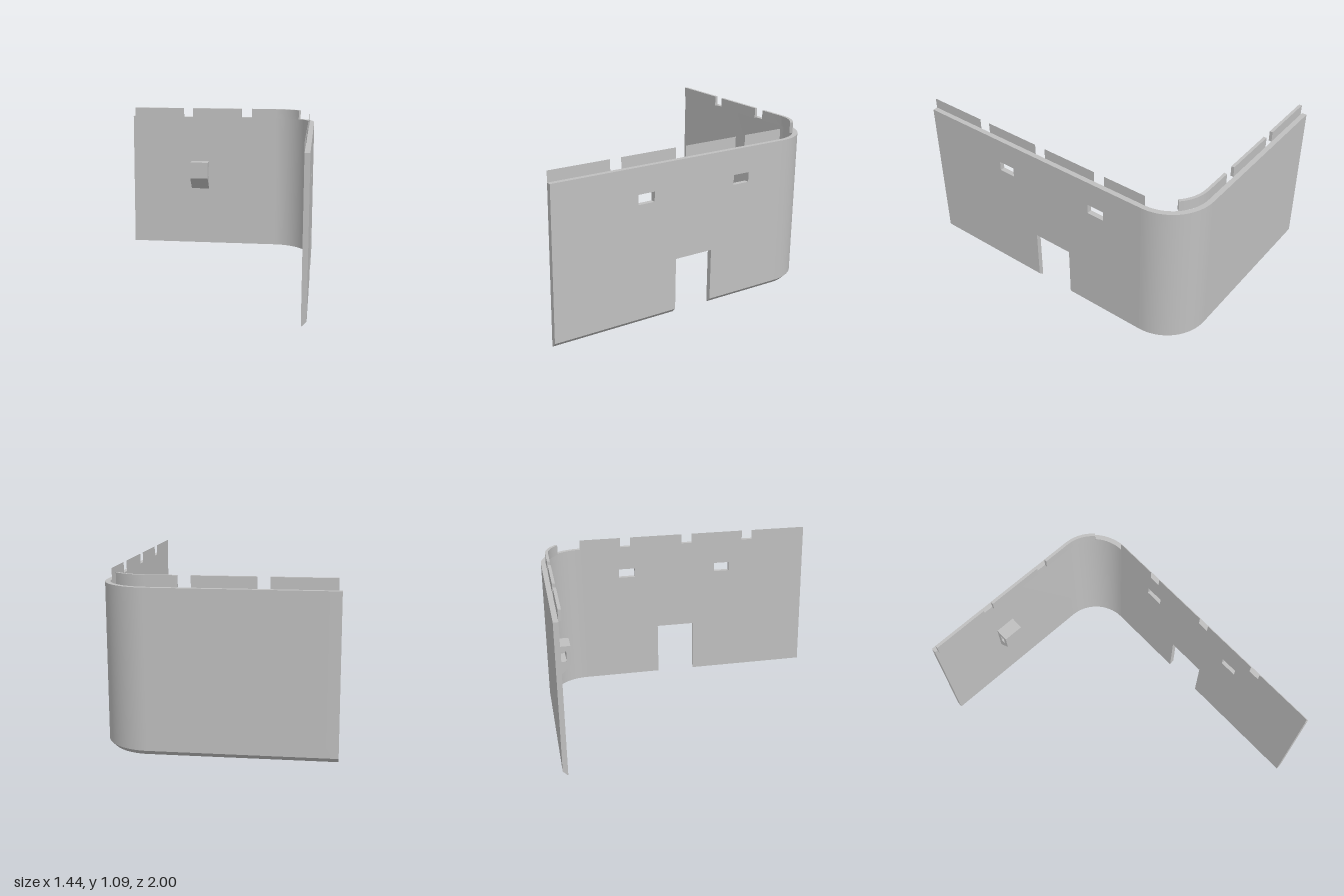
import * as THREE from 'three';
import { toCreasedNormals } from 'three/addons/utils/BufferGeometryUtils.js';

const T = 0.033, H = 1.02, TAB_TOP = 1.09, CHAMFER = 0.03;
const X = 0.72, Z = 1, R = 0.3;

const grey = new THREE.MeshStandardMaterial({ color: 0xc0c0c0, side: THREE.DoubleSide });
grey.name = 'light grey';

// Stations on the outer plan line, each with its inward normal
const backStation = x => ({ x, z: -Z, nx: 0, nz: 1 });
const sideStation = z => ({ x: X, z, nx: -1, nz: 0 });
function arcStations(endAngle, steps) {
  return Array.from({ length: steps + 1 }, (_, i) => {
    const a = endAngle * i / steps, s = Math.sin(a), c = Math.cos(a);
    return { x: X - R + R * s, z: -Z + R - R * c, nx: -s, nz: c };
  });
}

// Sweep a convex profile of [inward depth, height] points through the stations
function sweep(stations, profile) {
  const pos = [], n = profile.length;
  const rings = stations.map(s => profile.map(([d, y]) => [s.x + s.nx * d, y, s.z + s.nz * d]));
  const tri = (a, b, c) => pos.push(...a, ...b, ...c);
  for (let i = 0; i < rings.length - 1; i++) {
    const a = rings[i], b = rings[i + 1];
    for (let j = 0; j < n; j++) {
      const k = (j + 1) % n;
      tri(a[k], a[j], b[j]);
      tri(a[k], b[j], b[k]);
    }
  }
  const first = rings[0], last = rings[rings.length - 1];
  for (let j = 1; j < n - 1; j++) {
    tri(first[0], first[j], first[j + 1]);
    tri(last[0], last[j + 1], last[j]);
  }
  const g = new THREE.BufferGeometry();
  g.setAttribute('position', new THREE.Float32BufferAttribute(pos, 3));
  return toCreasedNormals(g, 0.5);
}

// Extrude a (z, y) outline towards -x, starting at the given x
function sidePlate(outline, holes, x, depth) {
  const points = list => list.map(p => new THREE.Vector2(...p));
  const shape = new THREE.Shape(points(outline));
  holes.forEach(([z0, z1, y0, y1]) =>
    shape.holes.push(new THREE.Path(points([[z0, y0], [z0, y1], [z1, y1], [z1, y0]]))));
  return new THREE.ExtrudeGeometry(shape, { depth, bevelEnabled: false })
    .rotateY(-Math.PI / 2).translate(x, 0, 0);
}

export function createModel() {
  const model = new THREE.Group();
  model.name = 'cornerWall';
  const add = (name, geometry) => {
    const mesh = new THREE.Mesh(geometry, grey);
    mesh.name = name;
    model.add(mesh);
  };

  // Back wall and rounded corner, chamfered along the outer bottom edge
  const wallProfile = [[CHAMFER, 0], [T, 0], [T, H], [0, H], [0, CHAMFER]];
  add('backWallAndCorner', sweep([backStation(-X), ...arcStations(Math.PI / 2, 20)], wallProfile));

  // Side wall with doorway and two windows
  const y0 = CHAMFER, end = -Z + R;
  add('sideWall', sidePlate(
    [[end, y0], [-0.14, y0], [-0.14, 0.375], [0.135, 0.375], [0.135, y0], [Z, y0], [Z, H], [end, H]],
    [[0.30, 0.415, 0.785, 0.85], [-0.425, -0.305, 0.785, 0.85]], X, T));

  // Chamfered feet either side of the doorway
  const footProfile = [[CHAMFER, 0], [T, 0], [T, CHAMFER], [0, CHAMFER]];
  [[end, -0.14], [0.135, Z]].forEach(([a, b]) =>
    add('sideWallFoot', sweep([sideStation(a), sideStation(b)], footProfile)));

  // Raised tabs on the inner edge of the back wall; the last follows the corner
  const tabProfile = [[T, H], [T + 0.02, H], [T + 0.02, TAB_TOP], [T, TAB_TOP]];
  [[-0.70, -0.31], [-0.235, 0.15]].forEach(([a, b]) =>
    add('backTab', sweep([backStation(a), backStation(b)], tabProfile)));
  add('cornerTab', sweep([backStation(0.23), ...arcStations(0.81, 10)], tabProfile));

  // Paper-thin tabs on the side wall
  [[0.59, 1], [0.125, 0.515], [-0.335, 0.05], [-0.705, -0.41]].forEach(([a, b]) =>
    add('sideTab', new THREE.PlaneGeometry(b - a, TAB_TOP - H)
      .rotateY(Math.PI / 2).translate(X - T, (H + TAB_TOP) / 2, (a + b) / 2)));

  // Slotted bracket with a sloping underside, inside the back wall
  const back = -Z + T, front = -0.876;
  add('bracket', sidePlate(
    [[back, 0.445], [front, 0.54], [front, 0.667], [back, 0.667]],
    [[-0.94, -0.905, 0.56, 0.63]], -0.11, 0.14));

  return model;
}
